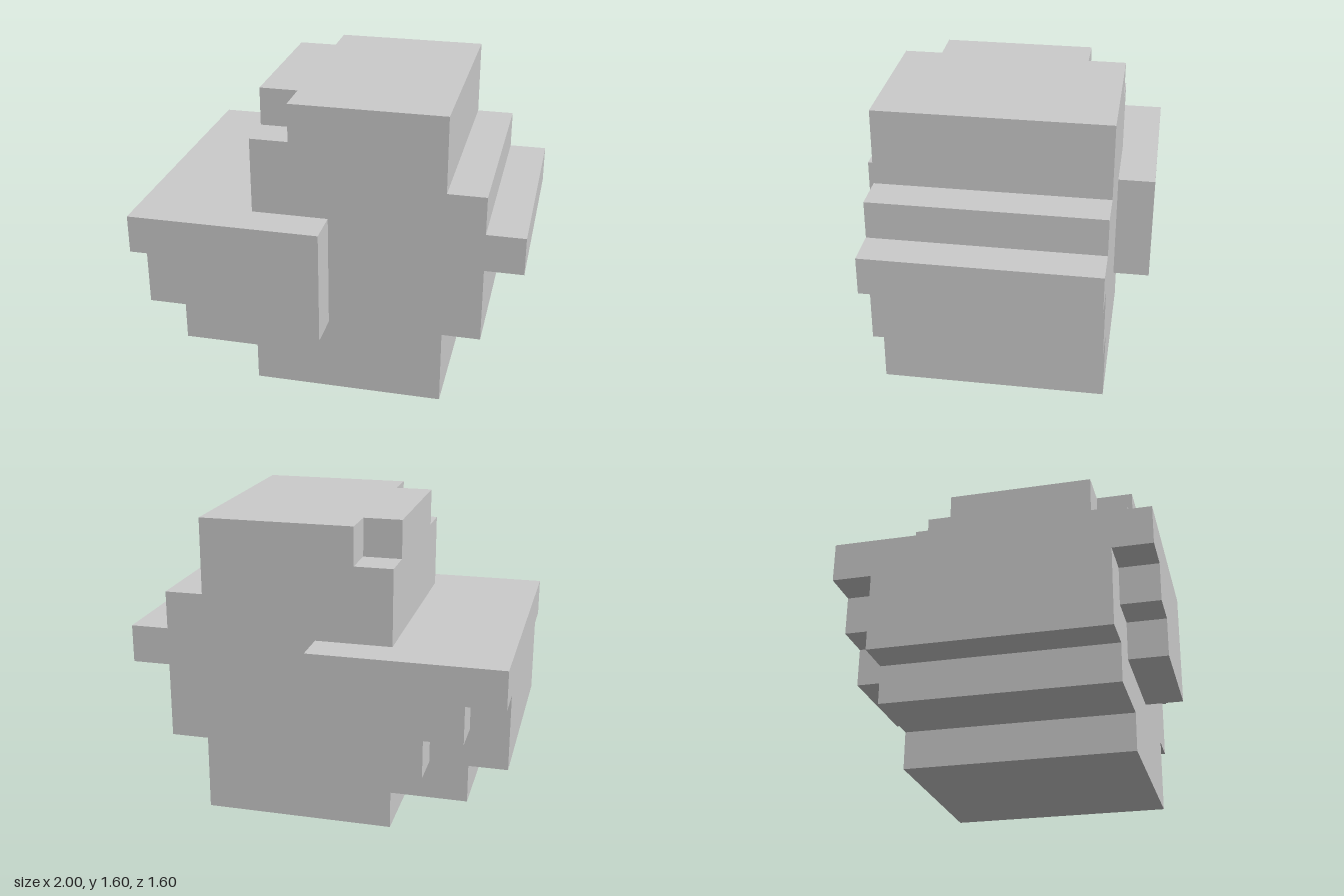
import * as THREE from 'three';

const material = new THREE.MeshStandardMaterial({ color: 0xcccccc, flatShading: true });

// Extrudes an x-y outline from z0 to z1
function slab(name, outline, z0, z1) {
  const shape = new THREE.Shape(outline.map(([x, y]) => new THREE.Vector2(x, y)));
  const geometry = new THREE.ExtrudeGeometry(shape, { depth: z1 - z0, bevelEnabled: false });
  geometry.translate(0, 0, z0);
  const mesh = new THREE.Mesh(geometry, material);
  mesh.name = name;
  return mesh;
}

export function createModel() {
  const model = new THREE.Group();
  model.name = 'steppedBlock';

  // Stepped outline shared by all body slices, without its top left corner
  const sides = [
    [-0.4, 1], [-1, 1], [-1, 0.4], [-0.8, 0.4], [-0.8, 0.2], [-0.4, 0.2], [-0.4, 0],
    [0.6, 0], [0.6, 0.4], [0.8, 0.4], [0.8, 0.8], [1, 0.8], [1, 1], [0.8, 1],
    [0.8, 1.2], [0.6, 1.2], [0.6, 1.6],
  ];
  const full = [...sides, [-0.4, 1.6]];
  const notched = [...sides, [-0.2, 1.6], [-0.2, 1.4], [-0.4, 1.4]];

  // Body: full core with notched slices at front and back
  model.add(slab('bodyCore', full, -0.4, 0.4));
  model.add(slab('bodyFront', notched, 0.4, 0.6));
  model.add(slab('bodyBack', notched, -0.6, -0.4));

  // Raised side plates with a stepped lower corner
  const plate = [
    [-1, 1], [-1, 0.8], [-0.8, 0.8], [-0.8, 0.6], [-0.6, 0.6], [-0.6, 0.4], [0, 0.4], [0, 1],
  ];
  model.add(slab('plateFront', plate, 0.6, 0.8));
  model.add(slab('plateBack', plate, -0.8, -0.6));

  return model;
}
